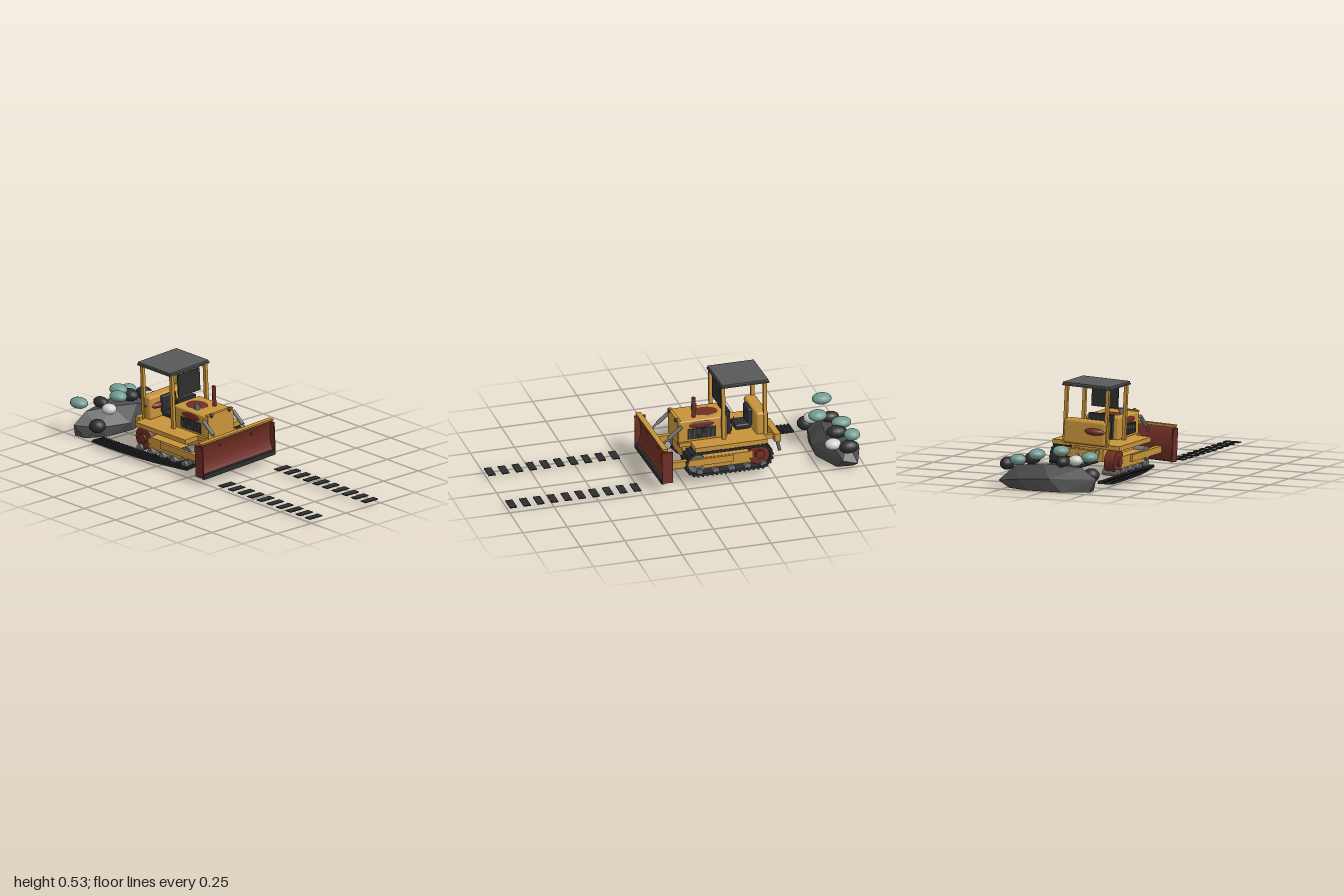
import * as THREE from 'three';
import { RoundedBoxGeometry } from 'three/addons/geometries/RoundedBoxGeometry.js';
import { ConvexGeometry } from 'three/addons/geometries/ConvexGeometry.js';

const material = (name, color) => {
  const m = new THREE.MeshStandardMaterial({ color });
  m.name = name;
  return m;
};
const yellow = material('yellow paint', 0xc8943a);
const rust = material('rust red', 0x6e2e24);
const dark = material('dark rubber', 0x2c2d2e);
const steel = material('steel grey', 0x707070);
const roofGrey = material('roof grey', 0x58595a);
const rockGrey = material('rock grey', 0x4c4c4d);
const teal = material('teal stone', 0x739b92);
const white = material('pale stone', 0xd2d2ce);

const V = (x, y, z) => new THREE.Vector3(x, y, z);

function add(parent, name, geometry, mat, x = 0, y = 0, z = 0) {
  const mesh = new THREE.Mesh(geometry, mat);
  mesh.name = name;
  mesh.position.set(x, y, z);
  parent.add(mesh);
  return mesh;
}

// Box given by its lower and upper limits on each axis
function box(parent, name, mat, [x0, x1], [y0, y1], [z0, z1], round = 0) {
  const size = [x1 - x0, y1 - y0, z1 - z0];
  const g = round ? new RoundedBoxGeometry(...size, 2, round) : new THREE.BoxGeometry(...size);
  return add(parent, name, g, mat, (x0 + x1) / 2, (y0 + y1) / 2, (z0 + z1) / 2);
}

// Cylinder between two points
function rod(parent, name, mat, a, b, r, sides = 14) {
  const d = b.clone().sub(a);
  const mesh = add(parent, name, new THREE.CylinderGeometry(r, r, d.length(), sides), mat);
  mesh.position.copy(a).add(b).multiplyScalar(0.5);
  mesh.quaternion.setFromUnitVectors(V(0, 1, 0), d.normalize());
  return mesh;
}

function ellipsoid(parent, name, mat, x, y, z, rx, ry, rz) {
  const mesh = add(parent, name, new THREE.SphereGeometry(1, 16, 10), mat, x, y, z);
  mesh.scale.set(rx, ry, rz);
  return mesh;
}

const axle = (p, name, mat, x, y, z, r, w, sides = 20) =>
  rod(p, name, mat, V(x, y, z - w / 2), V(x, y, z + w / 2), r, sides);

function buildBody(g) {
  box(g, 'chassis', yellow, [-0.45, -0.02], [0.1, 0.19], [-0.095, 0.095]);
  box(g, 'deck', yellow, [-0.47, 0], [0.175, 0.198], [-0.11, 0.11]);
  box(g, 'hood', yellow, [-0.275, 0], [0.195, 0.318], [-0.097, 0.097], 0.008);
  box(g, 'radiatorFrame', yellow, [-0.015, 0.004], [0.18, 0.325], [-0.092, 0.092]);
  box(g, 'rearTank', yellow, [-0.5, -0.43], [0.19, 0.325], [-0.125, 0.125], 0.015);
  box(g, 'dashboard', dark, [-0.3, -0.27], [0.2, 0.333], [-0.07, 0.07]);
  box(g, 'seatCushion', dark, [-0.42, -0.335], [0.205, 0.235], [-0.05, 0.05], 0.008);
  box(g, 'seatBack', dark, [-0.43, -0.405], [0.22, 0.32], [-0.05, 0.05], 0.008);
  for (const z of [-0.035, 0.04]) {
    rod(g, 'lever', steel, V(-0.31, 0.19, z), V(-0.33, 0.28, z), 0.004, 8);
  }
  for (const s of [-1, 1]) {
    box(g, 'fender', yellow, [-0.47, -0.065], [0.172, 0.198], [s * 0.15 - 0.05, s * 0.15 + 0.05]);
    box(g, 'sideGrille', dark, [-0.21, -0.05], [0.21, 0.27], [s * 0.097 - 0.004, s * 0.097 + 0.004]);
    for (let i = 0; i < 6; i++) {
      const x = -0.195 + i * 0.026;
      box(g, 'grilleSlat', rockGrey, [x, x + 0.005], [0.212, 0.268], [s * 0.1 - 0.003, s * 0.1 + 0.003]);
    }
    ellipsoid(g, 'headlight', dark, 0.002, 0.32, s * 0.065, 0.012, 0.012, 0.012);
    ellipsoid(g, 'hoodSideRust', rust, -0.13, 0.289, s * 0.096, 0.075, 0.02, 0.006);
  }
  // Weathered patches
  ellipsoid(g, 'hoodTopRust', rust, -0.18, 0.317, 0.005, 0.07, 0.008, 0.055);
  ellipsoid(g, 'tankRust', rust, -0.47, 0.268, 0.06, 0.058, 0.023, 0.07);
  // Exhaust and air intake
  rod(g, 'exhaustPipe', rust, V(-0.1, 0.3, -0.05), V(-0.1, 0.432, -0.05), 0.011);
  rod(g, 'airIntake', steel, V(-0.13, 0.31, 0.047), V(-0.13, 0.348, 0.047), 0.015);
}

function buildCanopy(g) {
  for (const x of [-0.481, -0.246]) for (const z of [-0.122, 0.122]) {
    box(g, 'canopyPost', yellow, [x - 0.01, x + 0.01], [0.19, 0.505], [z - 0.009, z + 0.009]);
  }
  box(g, 'roofFrame', roofGrey, [-0.502, -0.233], [0.503, 0.51], [-0.144, 0.144]);
  box(g, 'roofPanel', roofGrey, [-0.497, -0.238], [0.511, 0.521], [-0.14, 0.14]);
  box(g, 'windscreen', dark, [-0.25, -0.243], [0.364, 0.493], [-0.079, 0.079]);
  rod(g, 'wiper', steel, V(-0.241, 0.444, -0.03), V(-0.241, 0.46, -0.058), 0.002, 6);
}

// Running gear: sprocket, idler, rollers and frame on one side
function buildRunningGear(g, s) {
  const z = s * 0.15;
  box(g, 'trackFrame', yellow, [-0.39, -0.1], [0.065, 0.13], [z - 0.03, z + 0.03]);
  axle(g, 'sprocket', rust, -0.43, 0.108, z, 0.062, 0.06);
  axle(g, 'sprocketHub', rust, -0.43, 0.108, z, 0.025, 0.085);
  axle(g, 'idlerWheel', steel, -0.08, 0.095, z, 0.053, 0.06);
  axle(g, 'idlerHub', steel, -0.08, 0.095, z, 0.02, 0.085);
  for (let i = 0; i < 5; i++) axle(g, 'roller', steel, -0.45 + i * 0.09, 0.05, z, 0.02, 0.095, 14);
}

// Closed track loop with raised shoes
function buildFittedTrack(g) {
  const r = 0.068, x0 = -0.43, x1 = -0.08, y = 0.1, z = -0.15;
  const loop = (radius, Type) => {
    const p = new Type();
    p.absarc(x1, y, radius, -Math.PI / 2, Math.PI / 2, false);
    p.absarc(x0, y, radius, Math.PI / 2, Math.PI * 1.5, false);
    p.closePath();
    return p;
  };
  const shape = loop(r, THREE.Shape);
  shape.holes.push(loop(r - 0.012, THREE.Path));
  const belt = new THREE.ExtrudeGeometry(shape, { depth: 0.1, bevelEnabled: false, curveSegments: 16 });
  add(g, 'trackBelt', belt, dark, 0, 0, z - 0.05);
  const path = loop(r + 0.002, THREE.Shape);
  for (let i = 0; i < 44; i++) {
    const p = path.getPointAt(i / 44), t = path.getTangentAt(i / 44);
    const shoe = add(g, 'trackShoe', new THREE.BoxGeometry(0.009, 0.009, 0.1), dark, p.x, p.y, z);
    shoe.rotation.z = Math.atan2(t.y, t.x);
  }
}

function buildBlade(g) {
  // Concave mouldboard profile extruded across the width
  const s = new THREE.Shape();
  s.moveTo(0.138, 0.045);
  s.quadraticCurveTo(0.085, 0.14, 0.132, 0.236);
  s.lineTo(0.112, 0.236);
  s.quadraticCurveTo(0.062, 0.14, 0.112, 0.045);
  const board = new THREE.ExtrudeGeometry(s, { depth: 0.52, bevelEnabled: false, curveSegments: 10 });
  add(g, 'bladeBoard', board, rust, 0, 0, -0.26);
  box(g, 'bladeTopEdge', yellow, [0.108, 0.138], [0.236, 0.245], [-0.26, 0.26]);
  box(g, 'cuttingEdge', dark, [0.13, 0.146], [0.04, 0.066], [-0.26, 0.26]);
  for (const m of [-1, 1]) {
    box(g, 'bladeEndPlate', rust, [0.082, 0.143], [0.045, 0.225], [m * 0.26 - 0.004, m * 0.26 + 0.004]);
    ellipsoid(g, 'bladeBolt', rust, 0.113, 0.195, m * 0.114, 0.012, 0.008, 0.006);
    box(g, 'pushArm', yellow, [-0.28, 0.1], [0.09, 0.128], [m * 0.18 - 0.014, m * 0.18 + 0.014]);
    rod(g, 'liftCylinder', steel, V(-0.015, 0.295, m * 0.108), V(0.06, 0.235, m * 0.108), 0.011);
    rod(g, 'liftRod', steel, V(0.05, 0.243, m * 0.108), V(0.108, 0.195, m * 0.108), 0.006);
  }
}

function buildRipper(g) {
  box(g, 'ripperBeam', yellow, [-0.573, -0.538], [0.132, 0.178], [-0.108, 0.108]);
  for (const z of [-0.06, 0.06]) {
    box(g, 'ripperLink', yellow, [-0.545, -0.44], [0.14, 0.165], [z - 0.012, z + 0.012]);
  }
  const shank = add(g, 'ripperShank', new THREE.BoxGeometry(0.016, 0.13, 0.016), steel, -0.581, 0.095, 0);
  shank.rotation.z = -0.22;
}

// Thrown track lying in a gentle curve beside the machine
function buildLooseTrack(g) {
  const curve = new THREE.CatmullRomCurve3([
    V(-0.725, 0.024, 0.244), V(-0.52, 0.024, 0.242), V(-0.28, 0.024, 0.222), V(-0.06, 0.024, 0.178)]);
  const n = 34;
  for (let i = 0; i < n; i++) {
    const u = i / (n - 1), p = curve.getPointAt(u), t = curve.getTangentAt(u);
    const link = new THREE.Group();
    link.name = 'looseTrackLink';
    link.position.copy(p);
    link.rotation.y = Math.atan2(-t.z, t.x);
    box(link, 'shoePlate', dark, [-0.01, 0.01], [-0.003, 0.005], [-0.043, 0.043]);
    box(link, 'shoeBar', dark, [-0.004, 0.004], [0.004, 0.011], [-0.043, 0.043]);
    g.add(link);
  }
}

function buildHeap(g) {
  // Faceted mound with a flat base
  const hull = [
    [-0.94, 0, -0.23], [-0.85, 0, -0.22], [-0.99, 0, -0.1], [-0.78, 0, -0.06], [-0.98, 0, 0.1],
    [-0.79, 0, 0.12], [-0.92, 0, 0.24], [-0.85, 0, 0.23], [-0.95, 0.04, -0.29], [-0.87, 0.06, -0.28],
    [-1, 0.06, -0.15], [-0.765, 0.05, -0.02], [-0.99, 0.07, 0.03], [-0.9, 0.07, 0.268], [-0.8, 0.06, 0.18],
    [-0.92, 0.125, -0.2], [-0.83, 0.12, -0.13], [-0.94, 0.145, -0.03], [-0.84, 0.14, 0.04], [-0.9, 0.13, 0.18],
  ].map((p) => V(...p));
  add(g, 'mound', new ConvexGeometry(hull), rockGrey);
  const stones = [
    [dark, -0.91, 0.13, -0.255, 0.055, 0.036, 0.038], [white, -0.83, 0.14, -0.22, 0.045, 0.03, 0.042],
    [dark, -0.88, 0.16, -0.12, 0.058, 0.034, 0.042], [teal, -0.92, 0.19, -0.075, 0.055, 0.03, 0.045],
    [teal, -0.95, 0.16, -0.175, 0.045, 0.03, 0.045], [dark, -0.9, 0.155, 0.07, 0.05, 0.032, 0.035],
    [teal, -0.815, 0.2, 0.02, 0.052, 0.03, 0.045], [white, -0.8, 0.15, 0.1, 0.042, 0.03, 0.04],
    [teal, -0.9, 0.19, 0.23, 0.055, 0.03, 0.045], [dark, -0.795, 0.075, 0.19, 0.046, 0.038, 0.045],
  ];
  for (const [mat, ...v] of stones) ellipsoid(g, 'stone', mat, ...v);
}

export function createModel() {
  const model = new THREE.Group();
  model.name = 'bulldozerScene';
  const section = (name, parent, build, ...args) => {
    const g = new THREE.Group();
    g.name = name;
    build(g, ...args);
    parent.add(g);
    return g;
  };
  // The machine leans towards the side with the missing track
  const dozer = section('bulldozer', model, () => {});
  dozer.rotation.x = 0.048;
  section('body', dozer, buildBody);
  section('canopy', dozer, buildCanopy);
  section('leftRunningGear', dozer, buildRunningGear, 1);
  section('rightRunningGear', dozer, buildRunningGear, -1);
  section('fittedTrack', dozer, buildFittedTrack);
  section('blade', dozer, buildBlade);
  section('ripper', dozer, buildRipper);
  section('looseTrack', model, buildLooseTrack);
  section('rubbleHeap', model, buildHeap);
  // Track marks on the ground ahead
  section('trackMarks', model, (g) => {
    for (const z of [-0.193, 0.212]) for (let i = 0; i < 10; i++) {
      const x = 0.275 + i * 0.0778;
      box(g, 'trackMark', dark, [x - 0.02, x + 0.02], [0.02, 0.025], [z - 0.046, z + 0.046]);
    }
  });
  return model;
}
